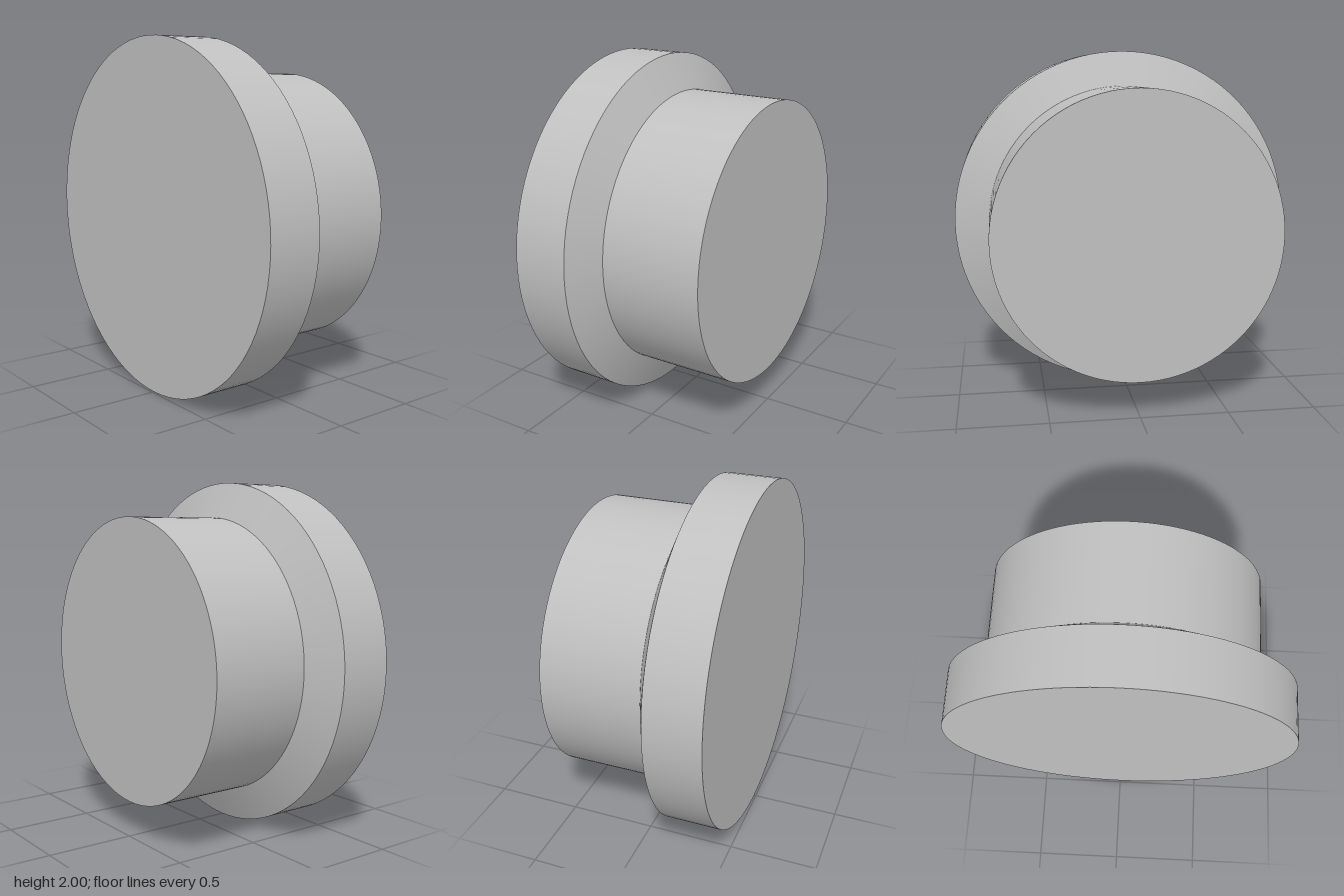
import * as THREE from 'three';

const SEGMENTS = 96;

export function createModel() {
  const model = new THREE.Group();
  model.name = 'flangedPlug';
  const grey = new THREE.MeshStandardMaterial({ color: 0xc0c0c0 });
  grey.name = 'light grey';

  const add = (name, geometry, z) => {
    const mesh = new THREE.Mesh(geometry, grey);
    mesh.name = name;
    mesh.position.set(0, 1, z);
    model.add(mesh);
  };

  // Open round wall running along z, from the back to the front
  const wall = (name, backRadius, frontRadius, back, front) => {
    const geometry = new THREE.CylinderGeometry(
      frontRadius, backRadius, front - back, SEGMENTS, 1, true);
    geometry.rotateX(Math.PI / 2);
    add(name, geometry, (front + back) / 2);
  };

  // Wide head, sloped shoulder and narrower barrel
  wall('headRim', 1, 1, 0.175, 0.49);
  wall('shoulder', 0.8, 1, 0.083, 0.175);
  wall('barrel', 0.8, 0.8, -0.49, 0.083);

  // Flat end faces
  add('frontFace', new THREE.CircleGeometry(1, SEGMENTS), 0.49);
  add('backFace', new THREE.CircleGeometry(0.8, SEGMENTS).rotateY(Math.PI), -0.49);

  return model;
}
